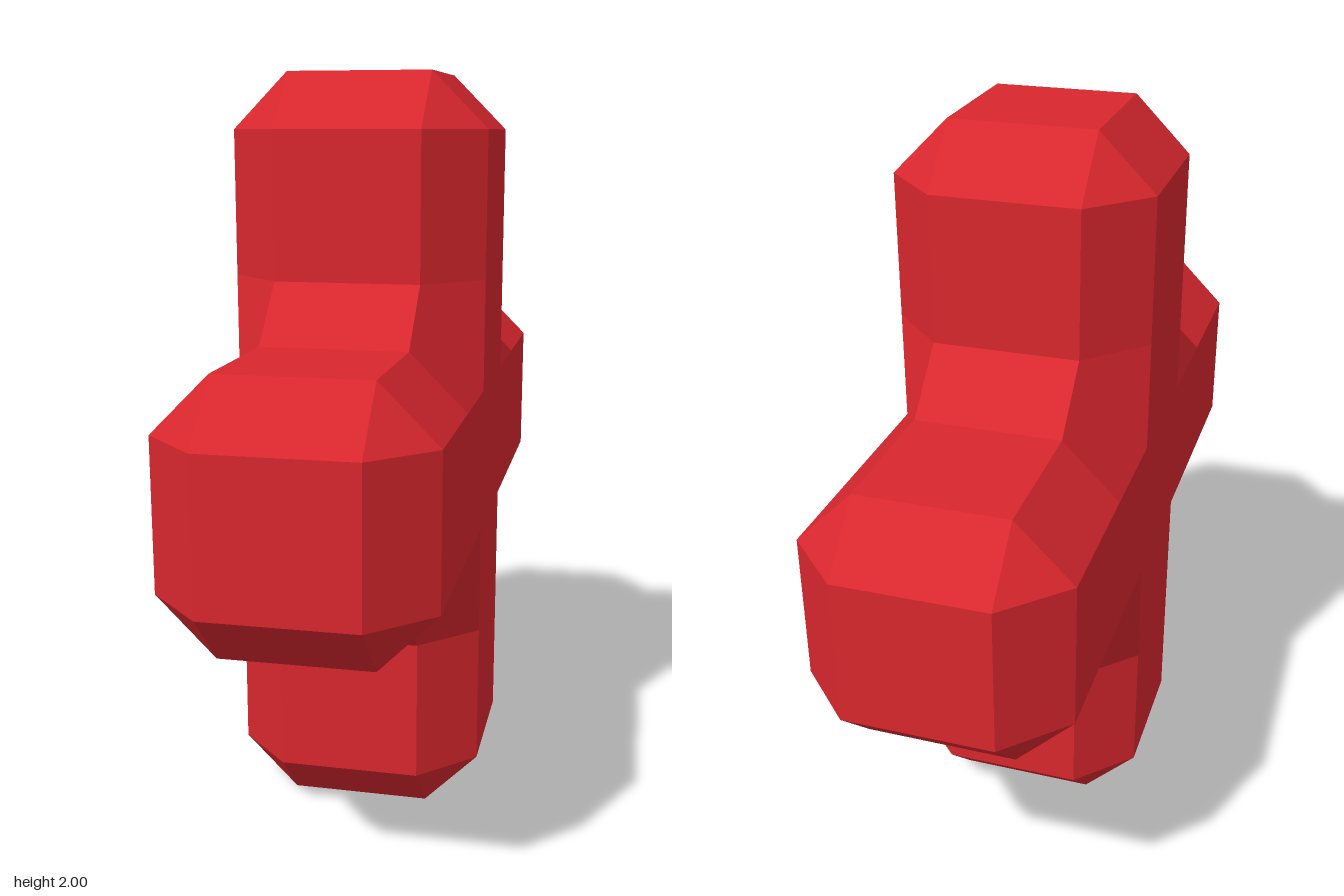
import * as THREE from 'three';

const a = 0.188; // half width of the flat faces
const b = 0.333; // half thickness of an arm
const e = 0.478; // where the inner bevel between two arms starts
const c = 0.855; // where the end bevel starts

// One eighth of the arm along z, first octant
const armFaces = [
  [[b, 0, a], [b, a, a], [b, a, c], [b, 0, c]],   // flank
  [[b, a, e], [a, b, e], [a, b, c], [b, a, c]],   // long bevel
  [[0, b, e], [a, b, e], [a, b, c], [0, b, c]],   // upper face
  [[0, 0, 1], [a, 0, 1], [a, a, 1], [0, a, 1]],   // end face
  [[b, 0, c], [b, a, c], [a, a, 1], [a, 0, 1]],   // end bevel, flank
  [[0, b, c], [a, b, c], [a, a, 1], [0, a, 1]],   // end bevel, top
  [[b, a, c], [a, b, c], [a, a, 1]],              // end corner
];
// Middle of the cross and the inner corners
const hubFaces = [
  [[b, 0, 0], [b, a, 0], [b, a, a], [b, 0, a]],
  [[0, b, e], [a, b, e], [a, e, b], [0, e, b]],
  [[b, a, a], [b, a, e], [a, b, e], [a, e, b], [b, e, a]],
];

// Mirror the faces into all octants, one flat normal per face
function mirrored(faces) {
  const position = [], normal = [];
  for (const face of faces) {
    let pts = face.map((p) => new THREE.Vector3(...p));
    const n = new THREE.Vector3();
    for (let i = 1; i < pts.length - 1; i++) {
      n.add(pts[i].clone().sub(pts[0]).cross(pts[i + 1].clone().sub(pts[0])));
    }
    n.normalize();
    if (n.x + n.y + n.z < 0) {
      pts = [pts[0], ...pts.slice(1).reverse()];
      n.negate();
    }
    for (const sx of [1, -1]) for (const sy of [1, -1]) for (const sz of [1, -1]) {
      const s = new THREE.Vector3(sx, sy, sz);
      const flip = sx * sy * sz < 0;
      for (let i = 1; i < pts.length - 1; i++) {
        const tri = flip ? [pts[0], pts[i + 1], pts[i]] : [pts[0], pts[i], pts[i + 1]];
        for (const p of tri) {
          position.push(...p.clone().multiply(s).toArray());
          normal.push(...n.clone().multiply(s).toArray());
        }
      }
    }
  }
  const geo = new THREE.BufferGeometry();
  geo.setAttribute('position', new THREE.Float32BufferAttribute(position, 3));
  geo.setAttribute('normal', new THREE.Float32BufferAttribute(normal, 3));
  return geo;
}

export function createModel() {
  const group = new THREE.Group();
  group.name = 'bevelledCross';
  const red = new THREE.MeshStandardMaterial({ color: 0xd9272e });
  const add = (name, geo) => {
    const mesh = new THREE.Mesh(geo, red);
    mesh.name = name;
    mesh.position.y = 1;
    group.add(mesh);
    return mesh;
  };
  add('hub', mirrored(hubFaces));
  add('horizontalArms', mirrored(armFaces));
  add('verticalArms', mirrored(armFaces)).rotation.x = Math.PI / 2;
  return group;
}
